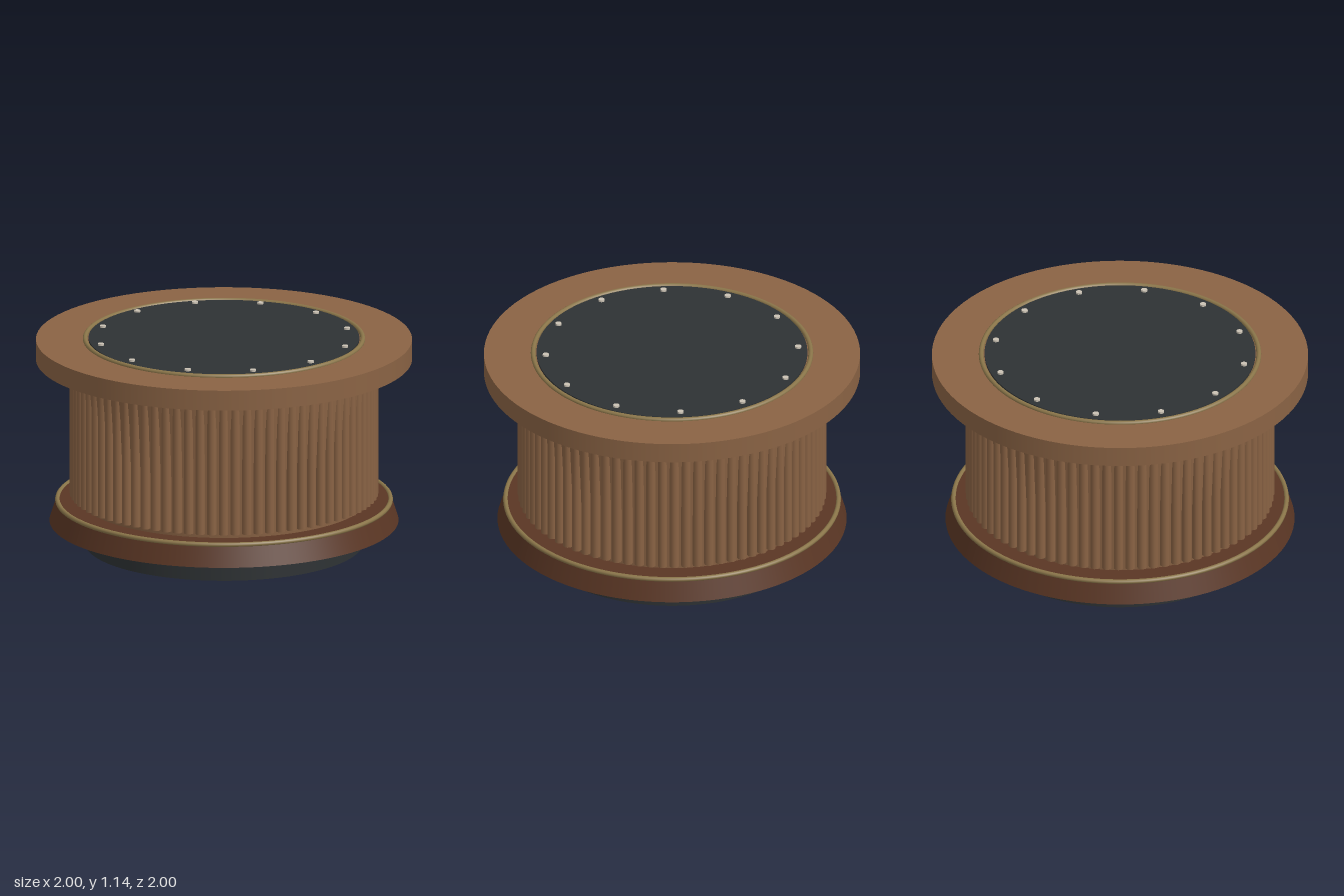
import * as THREE from 'three';

const mat = (color) => new THREE.MeshStandardMaterial({ color });

export function createModel() {
  const model = new THREE.Group();
  const wood = mat(0x8a6344);
  const darkWood = mat(0x5a3624);
  const brass = mat(0x8a7549);
  const black = mat(0x2e3234);
  const steel = mat(0xcac2b4);

  const add = (name, geometry, material, x, y, z, parent = model) => {
    const mesh = new THREE.Mesh(geometry, material);
    mesh.name = name;
    mesh.position.set(x, y, z);
    parent.add(mesh);
    return mesh;
  };
  // round part between two heights
  const disc = (name, rTop, rBottom, y0, y1, material) =>
    add(name, new THREE.CylinderGeometry(rTop, rBottom, y1 - y0, 96), material, 0, (y0 + y1) / 2, 0);
  // horizontal trim ring
  const ring = (name, radius, tube, y) => {
    const mesh = add(name, new THREE.TorusGeometry(radius, tube, 10, 96), brass, 0, y, 0);
    mesh.rotation.x = Math.PI / 2;
  };

  // base and body
  disc('foot', 0.74, 0.74, 0, 0.125, black);
  disc('skirt', 0.89, 0.928, 0.125, 0.245, darkWood);
  ring('skirtTrim', 0.885, 0.013, 0.24);
  disc('drum', 0.812, 0.768, 0.245, 1.015, wood);

  // upright half-sunk slats around the drum
  const slats = new THREE.Group();
  slats.name = 'slats';
  model.add(slats);
  const slatGeometry = new THREE.CylinderGeometry(0.026, 0.026, 0.705, 10);
  const slatCount = 80;
  for (let i = 0; i < slatCount; i++) {
    const a = (i / slatCount) * Math.PI * 2;
    const slat = add('slat', slatGeometry, wood, Math.sin(a) * 0.794, 0.625, Math.cos(a) * 0.794, slats);
    slat.rotation.y = a;
  }

  // table top with inset panel
  ring('upperTrim', 0.835, 0.013, 1.007);
  disc('top', 1, 1, 1.015, 1.125, wood);
  ring('panelTrim', 0.738, 0.013, 1.128);
  disc('panel', 0.72, 0.72, 1.12, 1.135, black);

  // studs around the panel
  const studs = new THREE.Group();
  studs.name = 'studs';
  model.add(studs);
  const studGeometry = new THREE.CylinderGeometry(0.017, 0.017, 0.012, 12);
  for (let i = 0; i < 12; i++) {
    const a = (i / 12) * Math.PI * 2;
    add('stud', studGeometry, steel, Math.sin(a) * 0.672, 1.139, Math.cos(a) * 0.672, studs);
  }
  return model;
}
